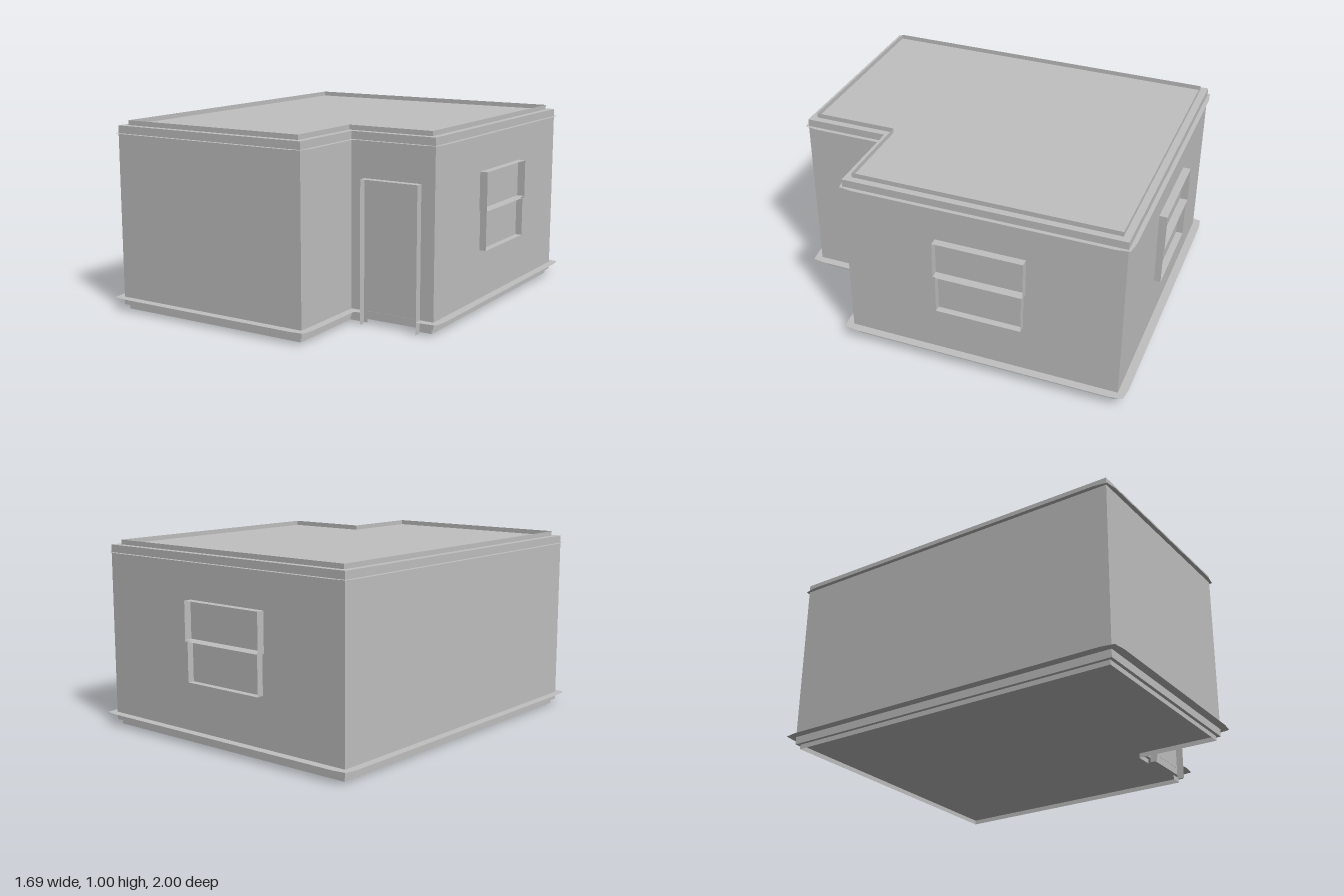
import * as THREE from 'three';

// L-shaped floor plan (x, z), moved outward by d
const plan = (d) => [
  [-0.8 - d, -0.955 - d], [0.8 + d, -0.955 - d], [0.8 + d, 0.505 + d],
  [0.33 + d, 0.505 + d], [0.33 + d, 0.955 + d], [-0.8 - d, 0.955 + d],
];
const DOOR = { x0: 0.405, x1: 0.725, top: 0.745 };

export function createModel() {
  const group = new THREE.Group();
  const plaster = new THREE.MeshStandardMaterial({ color: 0xc0c0c0 });
  plaster.name = 'plaster grey';
  plaster.side = THREE.DoubleSide;

  const add = (parent, name, geometry) => {
    const mesh = new THREE.Mesh(geometry, plaster);
    mesh.name = name;
    parent.add(mesh);
    return mesh;
  };
  const toShape = (pts) => new THREE.Shape(pts.map(([x, z]) => new THREE.Vector2(x, -z)));

  // Flat-shaded thin strip through four corners
  const quad = (a, b, c, d) => {
    const g = new THREE.BufferGeometry();
    g.setAttribute('position', new THREE.Float32BufferAttribute([a, b, c, a, c, d].flat(), 3));
    g.computeVertexNormals();
    return g;
  };

  // Main walls, floor and flat roof
  const body = new THREE.ExtrudeGeometry(toShape(plan(0)), { depth: 0.95, bevelEnabled: false });
  body.rotateX(-Math.PI / 2).translate(0, 0.025, 0);
  add(group, 'walls', body);

  // Upright strips following the plan, optionally open at the door
  const upright = (name, d, y0, y1, gap) => {
    const ring = new THREE.Group();
    ring.name = name;
    const pts = plan(d);
    const strip = ([ax, az], [bx, bz]) => add(ring, name + 'Strip',
      quad([bx, y0, bz], [ax, y0, az], [ax, y1, az], [bx, y1, bz]));
    pts.forEach((p, i) => {
      const q = pts[(i + 1) % pts.length];
      if (gap && i === 2) {
        strip(p, [DOOR.x1 - 0.01, p[1]]);
        strip([DOOR.x0 + 0.01, p[1]], q);
      } else strip(p, q);
    });
    group.add(ring);
  };
  upright('roofRim', -0.037, 0.975, 1.0, false);
  upright('plinth', -0.018, 0, 0.025, true);

  // Thin ledges around the walls, pinched slightly at the outer corners
  const ledge = (name, d, y, gap) => {
    const pts = plan(d);
    const outline = [];
    pts.forEach(([x, z], i) => {
      if (i === 3) {
        outline.push([x, z]);
        return;
      }
      const near = (q) => {
        const len = Math.hypot(q[0] - x, q[1] - z);
        return [x + (q[0] - x) / len * 0.08, z + (q[1] - z) / len * 0.08];
      };
      const a = near(pts[(i + 5) % 6]), b = near(pts[(i + 1) % 6]);
      outline.push(a, [x + (a[0] + b[0] - 2 * x) * 0.13, z + (a[1] + b[1] - 2 * z) * 0.13], b);
      if (gap && i === 2) {
        outline.push([DOOR.x1, z], [DOOR.x1, 0.506], [DOOR.x0, 0.506], [DOOR.x0, z]);
      }
    });
    const shape = toShape(outline);
    shape.holes.push(toShape(plan(-0.0005)));
    const g = new THREE.ShapeGeometry(shape);
    g.rotateX(-Math.PI / 2).translate(0, y, 0);
    add(group, name, g);
  };
  ledge('cornice', 0.022, 0.935, false);
  ledge('skirting', 0.045, 0.066, true);

  // Thin frame strips standing out from a wall, built facing +z at z = 0
  const frame = (name, x0, x1, y0, y1, rails, depth) => {
    const f = new THREE.Group();
    f.name = name;
    for (const x of [x0, x1]) {
      add(f, name + 'Side', quad([x, y0, 0], [x, y0, depth], [x, y1, depth], [x, y1, 0]));
    }
    for (const y of rails) {
      add(f, name + 'Rail', quad([x0, y, 0], [x0, y, depth], [x1, y, depth], [x1, y, 0]));
    }
    group.add(f);
    return f;
  };

  // Door frame in the recessed corner
  frame('doorFrame', DOOR.x0, DOOR.x1, 0, DOOR.top, [DOOR.top], 0.04).position.z = 0.505;

  // Two-pane windows: the upper sash is a little larger than the lower one
  const windowFrame = (name, width) => {
    const w = new THREE.Group();
    w.name = name;
    const h = width / 2;
    w.add(frame(name + 'Upper', -h, h, 0.535, 0.743, [0.545, 0.743], 0.042));
    w.add(frame(name + 'Lower', -h + 0.01, h - 0.01, 0.328, 0.545, [0.328, 0.535], 0.036));
    group.add(w);
    return w;
  };
  const sideWindow = windowFrame('sideWindow', 0.475);
  sideWindow.rotation.y = Math.PI / 2;
  sideWindow.position.set(0.8, 0, -0.224);
  const backWindow = windowFrame('backWindow', 0.5);
  backWindow.rotation.y = Math.PI;
  backWindow.position.set(-0.05, 0, -0.955);

  return group;
}
